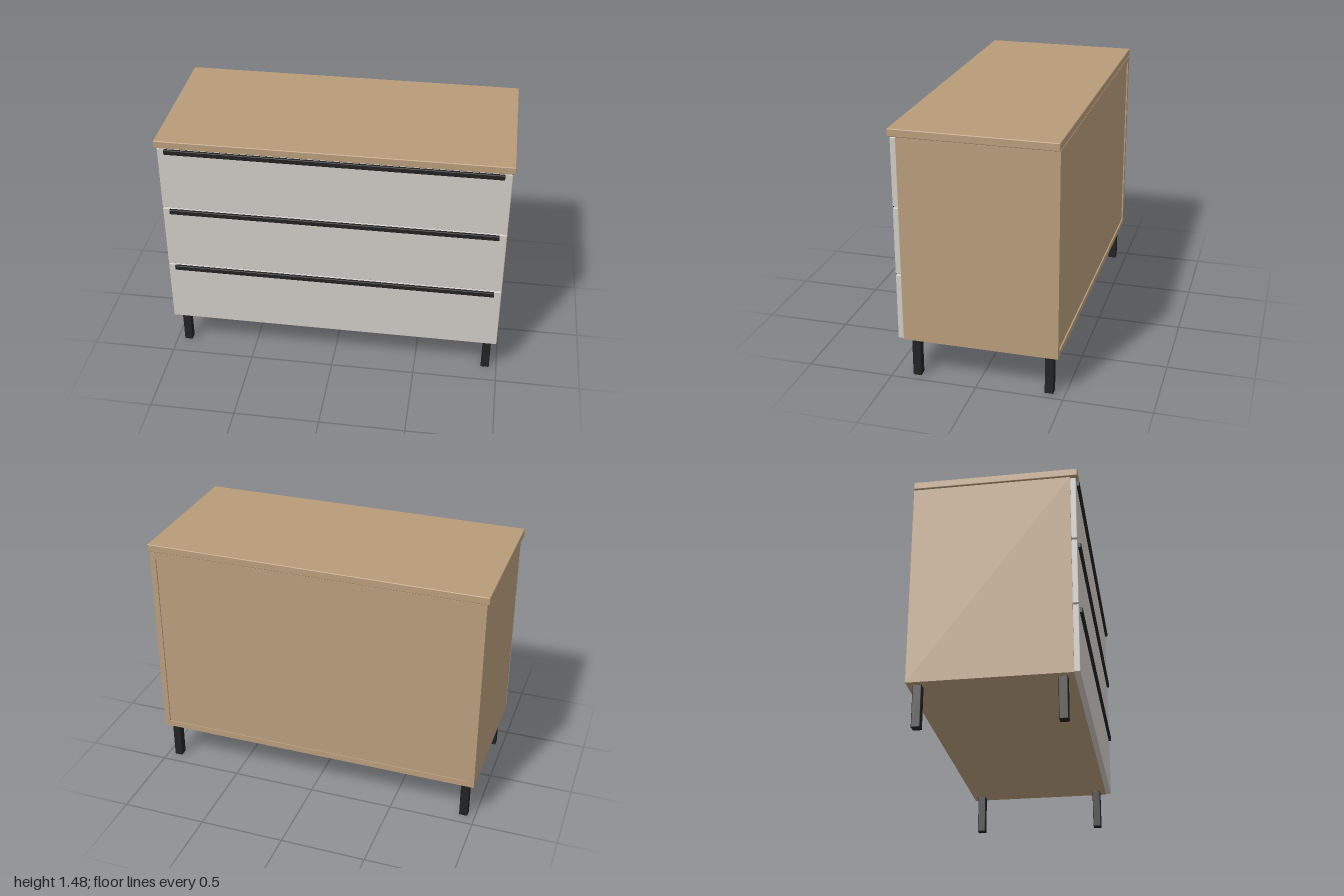
import * as THREE from 'three';
import { RoundedBoxGeometry } from 'three/addons/geometries/RoundedBoxGeometry.js';

const wood = new THREE.MeshStandardMaterial({ color: 0xb89c7a });
const paint = new THREE.MeshStandardMaterial({ color: 0xcfcbc6 });
const black = new THREE.MeshStandardMaterial({ color: 0x222222 });

// Box given by its min and max corners, with an optional edge radius
function addBox(parent, name, material, [x0, y0, z0], [x1, y1, z1], radius = 0) {
  const size = [x1 - x0, y1 - y0, z1 - z0];
  const geometry = radius
    ? new RoundedBoxGeometry(...size, 2, radius)
    : new THREE.BoxGeometry(...size);
  const mesh = new THREE.Mesh(geometry, material);
  mesh.name = name;
  mesh.position.set((x0 + x1) / 2, (y0 + y1) / 2, (z0 + z1) / 2);
  parent.add(mesh);
}

export function createModel() {
  const model = new THREE.Group();
  model.name = 'chestOfDrawers';

  // Carcass: panels around a slightly recessed back
  const carcass = new THREE.Group();
  carcass.name = 'carcass';
  model.add(carcass);
  const W = 0.988, T = 0.035, bottom = 0.24, top = 1.435, back = -0.467, front = 0.42;
  const inner = W - T;
  addBox(carcass, 'leftSide', wood, [inner, bottom, back], [W, top, front]);
  addBox(carcass, 'rightSide', wood, [-W, bottom, back], [-inner, top, front]);
  addBox(carcass, 'bottomPanel', wood, [-inner, bottom, back], [inner, bottom + T, front]);
  addBox(carcass, 'topPanel', wood, [-inner, top - T, back], [inner, top, front]);
  addBox(carcass, 'backPanel', wood, [-inner, bottom + T, back + 0.008], [inner, top - T, back + 0.028]);

  // Overhanging top
  addBox(model, 'tabletop', wood, [-1, top, -0.467], [1, 1.48, 0.463], 0.005);

  // Drawers: front, handle strip, and a rail closing the gap behind each joint
  const pitch = 0.398;
  for (let i = 0; i < 3; i++) {
    const drawer = new THREE.Group();
    drawer.name = `drawer${i + 1}`;
    model.add(drawer);
    const y = 0.243 + i * pitch;
    addBox(drawer, 'drawerFront', paint, [-0.986, y, front], [0.986, y + 0.39, 0.453], 0.004);
    addBox(drawer, 'handle', black, [-0.945, y + 0.36, 0.451], [0.945, y + 0.39, 0.469], 0.004);
    if (i > 0) addBox(carcass, 'rail', wood, [-inner, y - 0.02, front - 0.03], [inner, y + 0.012, front - 0.001]);
  }

  // Square legs
  for (const x of [-0.931, 0.931]) {
    for (const z of [-0.41, 0.36]) {
      addBox(model, 'leg', black, [x - 0.025, 0, z - 0.025], [x + 0.025, bottom, z + 0.025], 0.005);
    }
  }
  return model;
}
